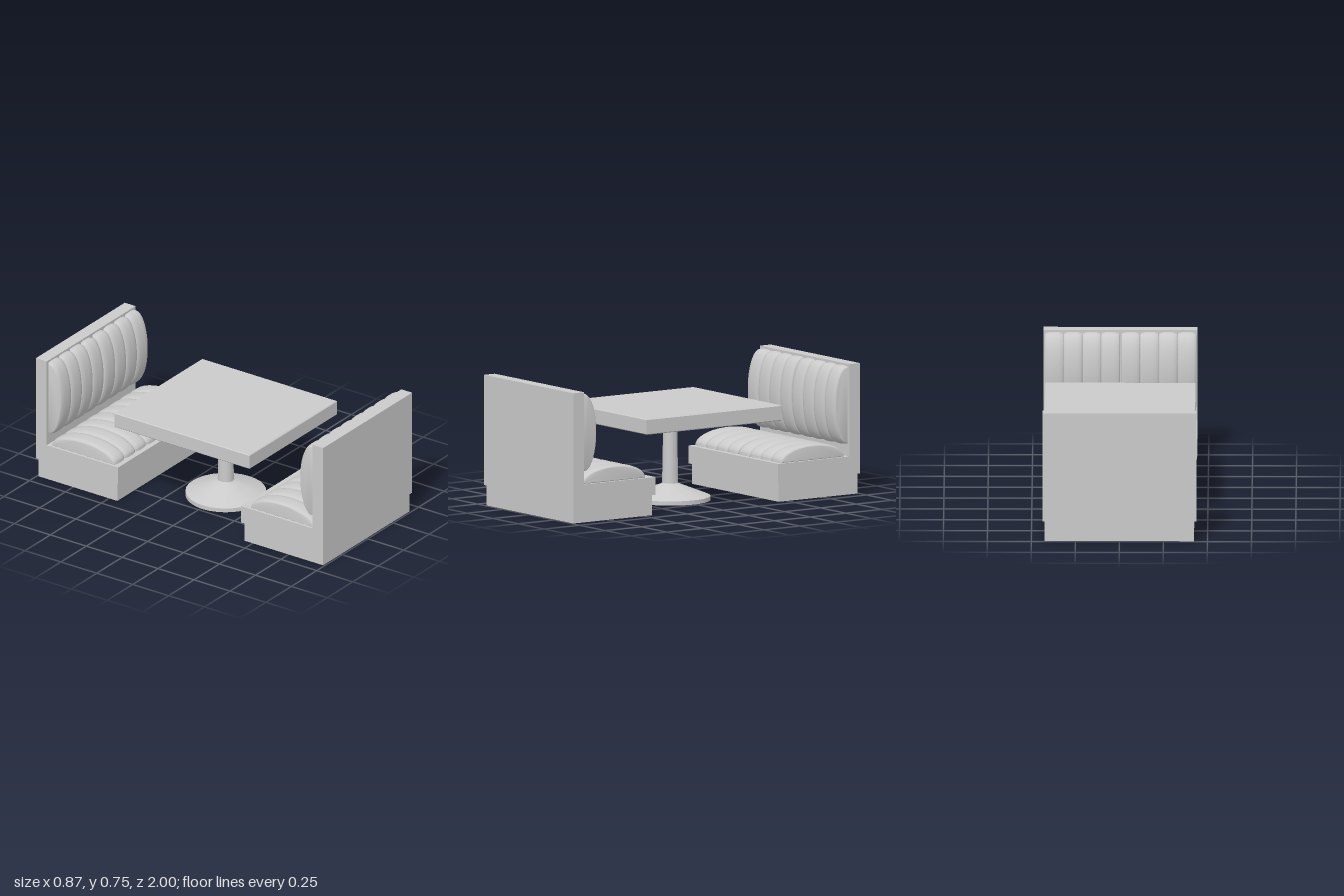
import * as THREE from 'three';
import { toCreasedNormals } from 'three/addons/utils/BufferGeometryUtils.js';

const grey = new THREE.MeshStandardMaterial({ color: 0xcacaca });
grey.name = 'plain grey';

function add(parent, name, geometry, x = 0, y = 0, z = 0) {
  const mesh = new THREE.Mesh(geometry, grey);
  mesh.name = name;
  mesh.position.set(x, y, z);
  parent.add(mesh);
  return mesh;
}

// Box given by its extents, centred on x unless told otherwise
function block(parent, name, width, y0, y1, z0, z1, x = 0) {
  return add(parent, name, new THREE.BoxGeometry(width, y1 - y0, z1 - z0), x, (y0 + y1) / 2, (z0 + z1) / 2);
}

// Rectangle in the floor plane; swapping the two depths reverses its winding
function trace(path, halfX, za, zb) {
  path.moveTo(-halfX, -za).lineTo(halfX, -za).lineTo(halfX, -zb).lineTo(-halfX, -zb).closePath();
  return path;
}

// Hollow rectangular frame, open at top and bottom
function frame(parent, name, halfX, z0, z1, y0, y1) {
  const shape = trace(new THREE.Shape(), halfX, z1, z0);
  shape.holes.push(trace(new THREE.Path(), 0.421, 0.445, 0.987));
  const g = new THREE.ExtrudeGeometry(shape, { depth: y1 - y0, bevelEnabled: false });
  g.rotateX(-Math.PI / 2);
  return add(parent, name, g, 0, y0, 0);
}

// One padded channel: a domed profile along z, swept across x with rounded edges
function channelGeometry(length, dome, under, width) {
  const shape = new THREE.Shape();
  shape.moveTo(-length / 2, -under);
  shape.lineTo(length / 2, -under);
  shape.lineTo(length / 2, 0);
  shape.absellipse(0, 0, length / 2, dome, 0, Math.PI, false);
  const round = 0.042;
  const g = new THREE.ExtrudeGeometry(shape, {
    depth: width - 2 * round, curveSegments: 28,
    bevelThickness: round, bevelSize: 0.013, bevelOffset: -0.013, bevelSegments: 6,
  });
  g.translate(0, 0, -width / 2 + round);
  g.rotateY(Math.PI / 2);
  return toCreasedNormals(g, 0.7);
}

// Two cushions of four channels each, side by side
function cushionPair(parent, name, geometry, width, y, z) {
  const group = new THREE.Group();
  group.name = name;
  for (const side of [-1, 1]) {
    for (let i = 0; i < 4; i++) {
      add(group, 'channel', geometry, side * (0.004 + width * (i + 0.5)), y, z);
    }
  }
  parent.add(group);
}

function createBench(name, seatZ) {
  const bench = new THREE.Group();
  bench.name = name;
  // Plinth and seat box, hollow underneath
  frame(bench, 'plinth', 0.424, 0.442, 0.99, 0, 0.117);
  frame(bench, 'seatBox', 0.437, 0.428, 1, 0.117, 0.21);
  block(bench, 'seatPanel', 0.874, 0.21, 0.22, 0.428, 1);
  block(bench, 'backPanel', 0.874, 0.22, 0.75, 0.925, 1);
  // Undersides of the two seat cushions, with a gap between
  for (const side of [-1, 1]) {
    block(bench, 'cushionBase', 0.41, 0.2, 0.21, seatZ - 0.22, seatZ + 0.22, side * 0.209);
  }
  // Channelled upholstery
  cushionPair(bench, 'seatCushions', channelGeometry(0.445, 0.085, 0.012, 0.1055), 0.1055, 0.226, seatZ);
  const back = channelGeometry(0.449, 0.086, 0.018, 0.1065).rotateX(-Math.PI / 2);
  cushionPair(bench, 'backCushions', back, 0.1065, 0.514, 0.911);
  return bench;
}

function createTable() {
  const table = new THREE.Group();
  table.name = 'table';
  // Top with a slight chamfer
  const c = 0.005;
  const top = new THREE.ExtrudeGeometry(trace(new THREE.Shape(), 0.43, 0.47, -0.47), {
    depth: 0.09 - 2 * c, bevelThickness: c, bevelSize: c, bevelOffset: -c, bevelSegments: 1,
  });
  top.rotateX(-Math.PI / 2);
  add(table, 'tableTop', top, 0, 0.465 + c, 0);
  // Flared foot and tapering column
  const profile = [[0, 0], [0.23, 0], [0.23, 0.024], [0.05, 0.095], [0.046, 0.1], [0.039, 0.466], [0, 0.466]]
    .map(([r, y]) => new THREE.Vector2(r, y));
  add(table, 'pedestal', toCreasedNormals(new THREE.LatheGeometry(profile, 32), 0.35));
  table.position.z = 0.013;
  return table;
}

export function createModel() {
  const model = new THREE.Group();
  model.name = 'diningBooth';
  const rear = createBench('rearBench', 0.68);
  rear.rotation.y = Math.PI;
  model.add(createBench('frontBench', 0.705), rear, createTable());
  return model;
}
